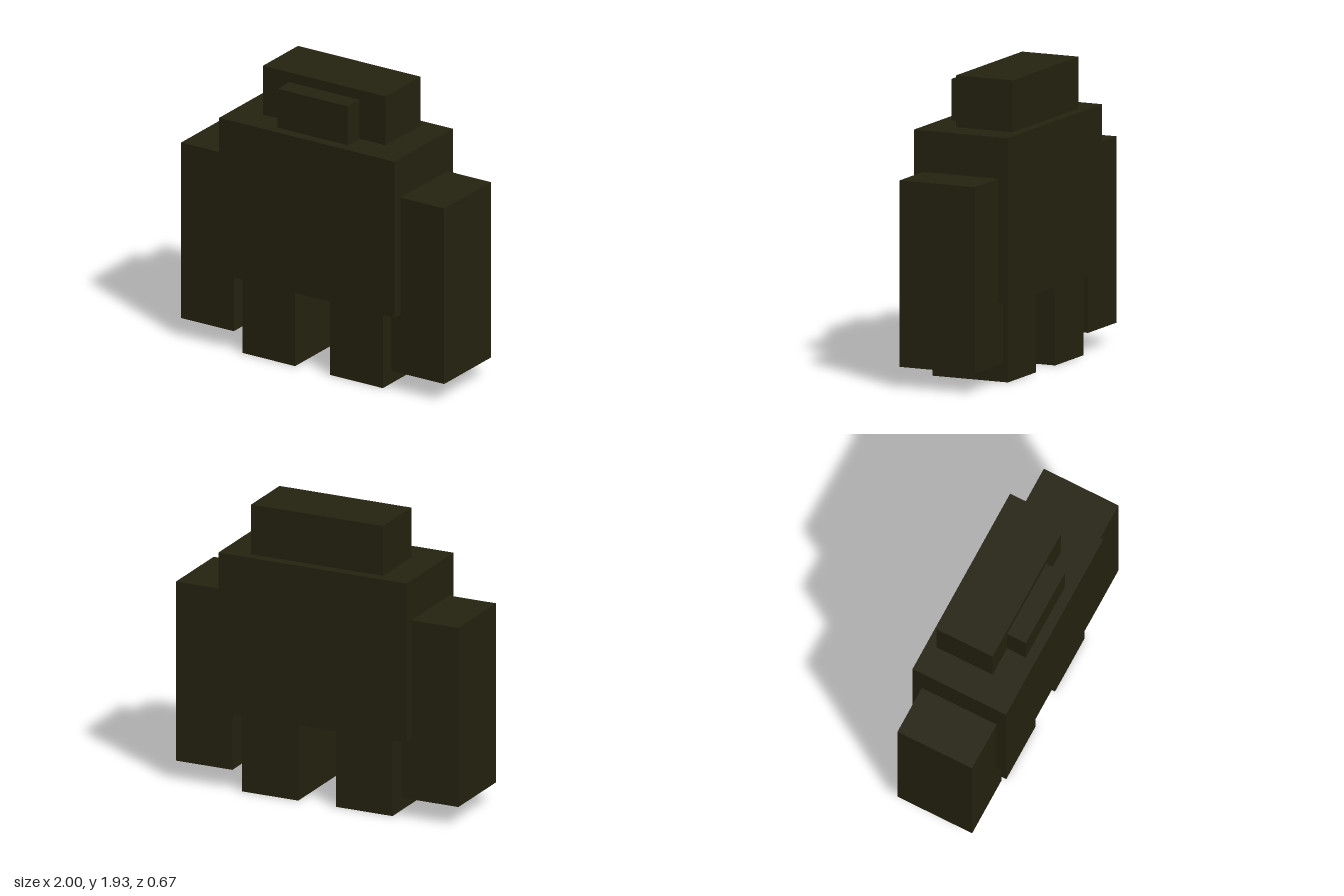
import * as THREE from 'three';

// All sizes are whole multiples of one block unit.
const U = 1 / 15;

export function createModel() {
  const model = new THREE.Group();
  model.name = 'blockFigure';

  const darkOlive = new THREE.MeshStandardMaterial({ color: 0x24220f });
  darkOlive.name = 'darkOlive';

  // Box between two corners, given in block units.
  function block(name, [x0, y0, z0], [x1, y1, z1]) {
    const geometry = new THREE.BoxGeometry((x1 - x0) * U, (y1 - y0) * U, (z1 - z0) * U);
    const mesh = new THREE.Mesh(geometry, darkOlive);
    mesh.name = name;
    mesh.position.set((x0 + x1) / 2 * U, (y0 + y1) / 2 * U, (z0 + z1) / 2 * U);
    model.add(mesh);
  }

  // Torso, head and snout
  block('torso', [-10, 8, -5], [10, 24, 5]);
  block('head', [-7, 24, -4], [7, 29, 2]);
  block('snout', [-4, 24, 2], [4, 28, 4]);

  // Arms sink one unit into the torso; legs stand below it
  block('leftArm', [9, 2, -4], [15, 20, 4]);
  block('rightArm', [-15, 2, -4], [-9, 20, 4]);
  block('leftLeg', [2, 0, -4], [8, 8, 4]);
  block('rightLeg', [-8, 0, -4], [-2, 8, 4]);

  return model;
}
